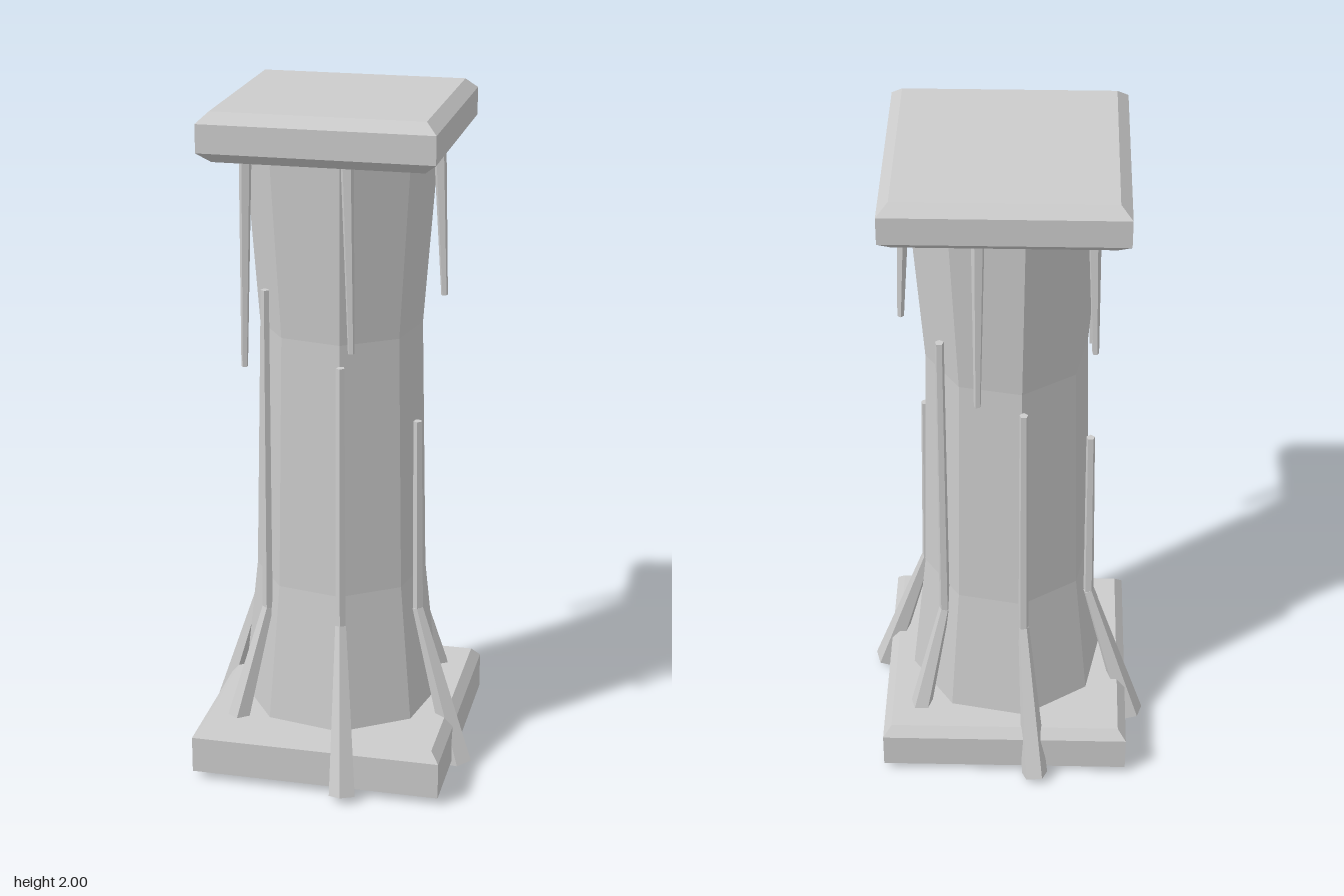
import * as THREE from 'three';

const material = new THREE.MeshStandardMaterial({ color: 0xcccccc, flatShading: true });

// Faceted turned solid; profile is [radius, y] from bottom to top
function turned(name, profile, sides, start) {
  const points = profile.map(([r, y]) => new THREE.Vector2(r, y));
  const mesh = new THREE.Mesh(new THREE.LatheGeometry(points, sides, start, Math.PI * 2), material);
  mesh.name = name;
  return mesh;
}

// Square slab with chamfers; profile is [half width, y]
function slab(name, profile) {
  return turned(name, profile.map(([h, y]) => [h * Math.SQRT2, y]), 4, Math.PI / 4);
}

// Tapered bar between two points
function bar(name, from, to, rFrom, rTo, sides) {
  const a = new THREE.Vector3(...from), b = new THREE.Vector3(...to);
  const dir = b.clone().sub(a);
  const mesh = new THREE.Mesh(new THREE.CylinderGeometry(rTo, rFrom, dir.length(), sides), material);
  mesh.position.copy(a).add(b).multiplyScalar(0.5);
  mesh.quaternion.setFromUnitVectors(new THREE.Vector3(0, 1, 0), dir.normalize());
  mesh.name = name;
  return mesh;
}

export function createModel() {
  const model = new THREE.Group();
  model.name = 'pillar';

  // Plinth, waisted octagonal shaft and cap
  model.add(slab('base', [[0, 0.025], [0.37, 0.025], [0.37, 0.135], [0.345, 0.165], [0, 0.165]]));
  model.add(turned('shaft', [[0.298, 0.15], [0.252, 0.58], [0.235, 1.34], [0.275, 1.88]], 8, THREE.MathUtils.degToRad(11.5)));
  model.add(slab('cap', [[0, 1.86], [0.295, 1.86], [0.33, 1.89], [0.33, 1.97], [0.298, 2], [0, 2]]));

  // Roots: foot, knee and tip; each is repeated on the opposite side
  const roots = [
    { foot: [0.093, 0.014, 0.395], knee: [0.055, 0.49, 0.25], tip: [0.052, 1.28, 0.245] },
    { foot: [0.39, 0.014, 0.115], knee: [0.25, 0.49, 0.075], tip: [0.243, 1.08, 0.08] },
    { foot: [-0.29, 0.014, 0.275], knee: [-0.185, 0.49, 0.17], tip: [-0.183, 1.47, 0.168] },
  ];
  for (const side of [1, -1]) {
    const flip = ([x, y, z]) => [x * side, y, z * side];
    for (const { foot, knee, tip } of roots) {
      const root = new THREE.Group();
      root.name = 'root';
      root.add(bar('rootFoot', flip(foot), flip(knee), 0.041, 0.017, 5));
      root.add(bar('rootRunner', flip(knee), flip(tip), 0.016, 0.013, 5));
      model.add(root);
    }
  }

  // Thin tendrils hanging from under the cap
  const tendrils = [
    [[0.076, 1.88, 0.27], [0.093, 1.34, 0.29]],
    [[0.28, 1.88, 0], [0.301, 1.44, 0.005]],
    [[0.07, 1.88, -0.265], [0.075, 1.34, -0.285]],
    [[-0.235, 1.88, 0.165], [-0.245, 1.24, 0.17]],
    [[-0.235, 1.88, -0.17], [-0.247, 1.45, -0.18]],
  ];
  for (const [top, end] of tendrils) model.add(bar('tendril', top, end, 0.019, 0.01, 5));

  return model;
}
